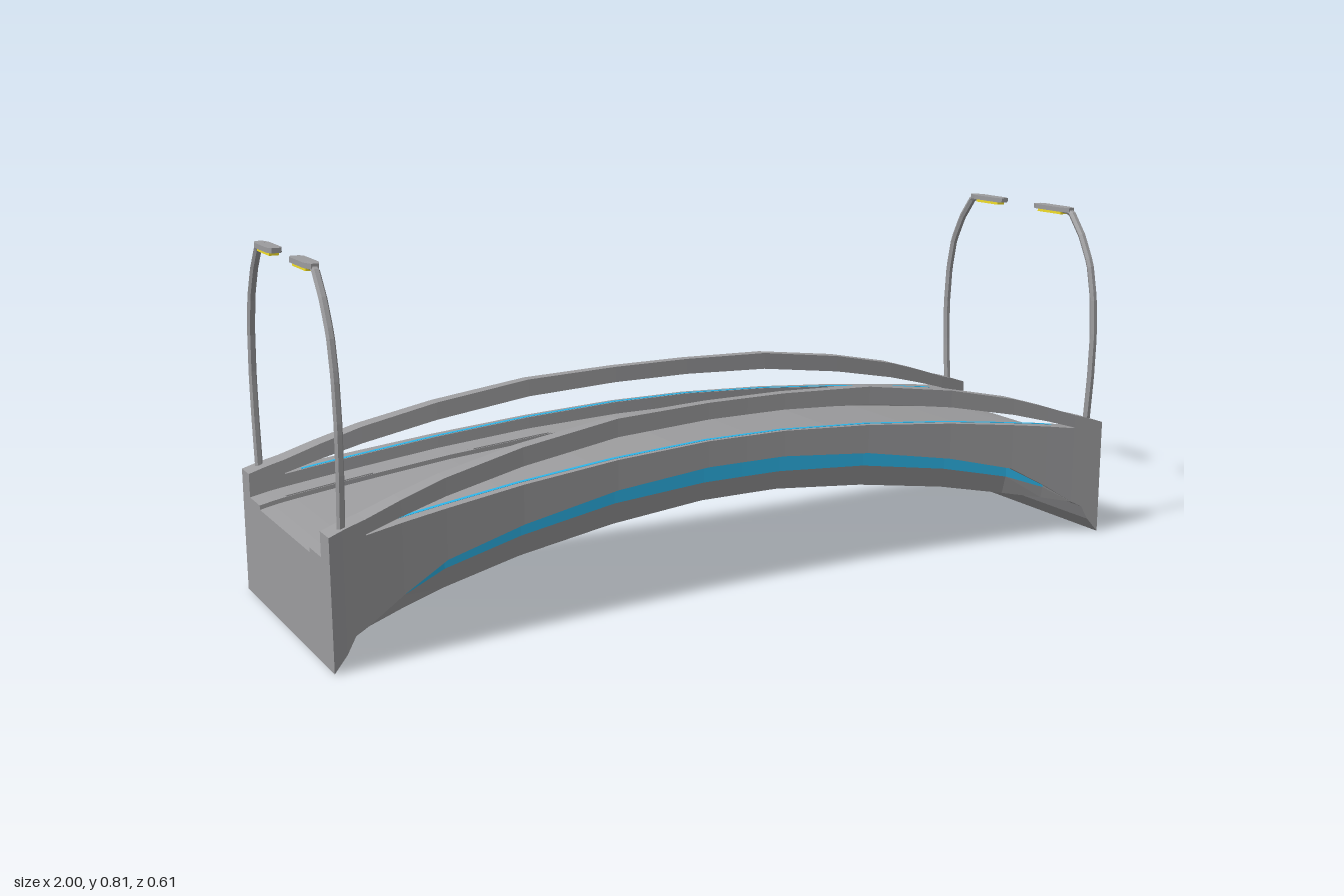
import * as THREE from 'three';

const grey = new THREE.MeshStandardMaterial({ color: 0x9c9c9e, flatShading: true, side: THREE.DoubleSide });
const blue = new THREE.MeshStandardMaterial({ color: 0x2cb4e8, flatShading: true, side: THREE.DoubleSide });
const yellow = new THREE.MeshStandardMaterial({ color: 0xf2de28, flatShading: true });

// Heights along half the span, by distance from the middle
const STATIONS = [0, 0.1, 0.33, 0.56, 0.74, 0.84, 0.92, 0.95, 0.97, 1];
const HEIGHTS = {
  railTop: [0.443, 0.443, 0.435, 0.403, 0.365, 0.335, 0.308, 0.3, 0.294, 0.284],
  gapTop: [0.405, 0.405, 0.394, 0.362, 0.326, 0.3, 0.277, 0.277, 0.277, 0.277],
  gapBottom: [0.355, 0.355, 0.343, 0.322, 0.3, 0.287, 0.275, 0.275, 0.275, 0.275],
  arch: [0.295, 0.295, 0.275, 0.235, 0.19, 0.135, 0.085, 0.07, 0.035, 0],
  bellyTop: [0.255, 0.255, 0.24, 0.205, 0.165, 0.13, 0.085, 0.07, 0.035, 0],
  belly: [0.21, 0.21, 0.19, 0.157, 0.12, 0.102, 0.085, 0.07, 0.035, 0],
  road: [0.316, 0.316, 0.306, 0.285, 0.262, 0.248, 0.236, 0.231, 0.227, 0.22],
};

function height(name, x) {
  const a = Math.min(Math.abs(x), 1);
  let i = 1;
  while (STATIONS[i] < a) i++;
  const t = (a - STATIONS[i - 1]) / (STATIONS[i] - STATIONS[i - 1]);
  return THREE.MathUtils.lerp(HEIGHTS[name][i - 1], HEIGHTS[name][i], t);
}

// Plan widths: the bridge flares towards both ends
const outer = (x) => 0.24 + 0.066 * x * x;
const inner = (x) => 0.215 + 0.036 * x * x;
const curb = (x) => 0.14 + 0.036 * x * x;
const taper = (x) => THREE.MathUtils.clamp((0.92 - Math.abs(x)) / 0.18, 0, 1);
const bellyEdge = (x) => outer(x) - 0.022 * taper(x);

// Stations between two x values, ends included
function stations(a, b) {
  const all = [...STATIONS.map((s) => -s), ...STATIONS].filter((s) => s > a && s < b);
  return [...new Set([a, ...all, b].map((s) => s + 0))].sort((p, q) => p - q);
}

// Sweep a closed (z, y) section along x and cap both ends
function loft(name, a, b, section, material) {
  const xs = stations(a, b);
  const rings = xs.map((x) => section(x).map(([z, y]) => new THREE.Vector2(y, z)));
  if (THREE.ShapeUtils.area(rings[Math.floor(rings.length / 2)]) < 0) rings.forEach((r) => r.reverse());
  const pos = [];
  const put = (i, j) => pos.push(xs[i], rings[i][j].x, rings[i][j].y);
  const n = rings[0].length;
  const last = xs.length - 1;
  for (let i = 0; i < last; i++) {
    for (let j = 0; j < n; j++) {
      const k = (j + 1) % n;
      put(i, j); put(i, k); put(i + 1, k);
      put(i, j); put(i + 1, k); put(i + 1, j);
    }
  }
  for (const [p, q, r] of THREE.ShapeUtils.triangulateShape(rings[last], [])) {
    put(last, p); put(last, q); put(last, r);
  }
  for (const [p, q, r] of THREE.ShapeUtils.triangulateShape(rings[0], [])) {
    put(0, p); put(0, r); put(0, q);
  }
  const geometry = new THREE.BufferGeometry();
  geometry.setAttribute('position', new THREE.Float32BufferAttribute(pos, 3));
  geometry.computeVertexNormals();
  const mesh = new THREE.Mesh(geometry, material);
  mesh.name = name;
  return mesh;
}

// Rectangular section on one side of the bridge
const rect = (s, z0, z1, y0, y1) => [[s * z0, y0], [s * z1, y0], [s * z1, y1], [s * z0, y1]];

// Curved street lamp leaning over the road
function lamp(sx, sz) {
  const g = new THREE.Group();
  g.name = 'streetLamp';
  const points = [[0.283, 0.28], [0.292, 0.4], [0.295, 0.5], [0.288, 0.6], [0.271, 0.68], [0.238, 0.745], [0.192, 0.804], [0.16, 0.804]];
  const path = new THREE.CurvePath();
  for (let i = 1; i < points.length; i++) {
    const [p, q] = [points[i - 1], points[i]].map(([z, y]) => new THREE.Vector3(0, y, z * sz));
    path.add(new THREE.LineCurve3(p, q));
  }
  const post = new THREE.Mesh(new THREE.TubeGeometry(path, 28, 0.009, 6), grey);
  post.name = 'lampPost';
  // Flat head with a narrowed tip and neck
  const outline = new THREE.Shape([[-0.008, 0.195], [0.008, 0.195], [0.016, 0.17], [0.016, 0.078], [0.01, 0.064], [-0.01, 0.064], [-0.016, 0.078], [-0.016, 0.17]]
    .map(([x, z]) => new THREE.Vector2(x, -z * sz)));
  const headGeometry = new THREE.ExtrudeGeometry(outline, { depth: 0.011, bevelEnabled: false });
  headGeometry.rotateX(-Math.PI / 2);
  const head = new THREE.Mesh(headGeometry, grey);
  head.position.y = 0.8;
  head.name = 'lampHead';
  const light = new THREE.Mesh(new THREE.BoxGeometry(0.022, 0.008, 0.087), yellow);
  light.position.set(0, 0.797, 0.124 * sz);
  light.name = 'lampLight';
  g.add(post, head, light);
  g.position.x = 0.967 * sx;
  return g;
}

export function createModel() {
  const model = new THREE.Group();
  model.name = 'archBridge';

  // Road deck: steep lower edges and a shallow recess along the underside
  model.add(loft('deck', -1, 1, (x) => {
    const e = bellyEdge(x);
    const b = e - 0.012 * taper(x);
    const c = curb(x);
    const [r, t, l] = ['road', 'bellyTop', 'belly'].map((k) => height(k, x));
    const u = l + 0.01 * taper(x);
    return [[-e, r], [-e, t], [-b, l], [-c, l], [-c, u], [c, u], [c, l], [b, l], [e, t], [e, r]];
  }, grey));

  for (const s of [1, -1]) {
    // Raised pavement, with a thin kerb in front of a narrow channel
    model.add(loft('sidewalk', -1, 1, (x) =>
      rect(s, curb(x) + 0.01, inner(x) + 0.005, height('road', x) - 0.005, height('road', x) + 0.01), grey));
    model.add(loft('kerb', -1, 1, (x) =>
      rect(s, curb(x), curb(x) + 0.002, height('road', x) - 0.005, height('road', x) + 0.01), grey));

    // Closed stretches of the channel, and the lights in between
    for (const [a, b] of [[-1, -0.94], [-0.74, -0.5], [-0.31, 0.31], [0.5, 0.74], [0.94, 1]]) {
      model.add(loft('channelCover', a, b, (x) =>
        rect(s, curb(x) + 0.002, curb(x) + 0.01, height('road', x) - 0.005, height('road', x) + 0.01), grey));
    }
    for (const [a, b] of [[-0.94, -0.74], [-0.5, -0.31], [0.31, 0.5], [0.74, 0.94]]) {
      model.add(loft('kerbLight', a, b, (x) =>
        rect(s, curb(x) + 0.002, curb(x) + 0.01, height('road', x) - 0.005, height('road', x) + 0.003), blue));
    }

    // Parapet wall, open rail above it
    model.add(loft('parapetWall', -0.92, 0.92, (x) =>
      rect(s, inner(x), outer(x), height('arch', x), height('gapBottom', x)), grey));
    model.add(loft('handrail', -0.92, 0.92, (x) =>
      rect(s, inner(x), outer(x), height('gapTop', x), height('railTop', x)), grey));

    // Light strip on the sill below the rail
    model.add(loft('sillLight', -0.88, 0.88, (x) =>
      rect(s, inner(x) + 0.004, inner(x) + 0.015, height('gapBottom', x) - 0.002, height('gapBottom', x) + 0.0006), blue));

    // Light strip under the facade arch
    model.add(loft('archLight', -0.84, 0.84, (x) =>
      rect(s, bellyEdge(x) - 0.004, bellyEdge(x) + 0.001, height('bellyTop', x), height('arch', x) + 0.003), blue));

    for (const e of [1, -1]) {
      // Solid parapet end
      model.add(loft('parapetEnd', e > 0 ? 0.92 : -1, e > 0 ? 1 : -0.92, (x) =>
        rect(s, inner(x), outer(x), height('belly', x), height('railTop', x)), grey));
      model.add(lamp(e, s));
    }
  }
  return model;
}
